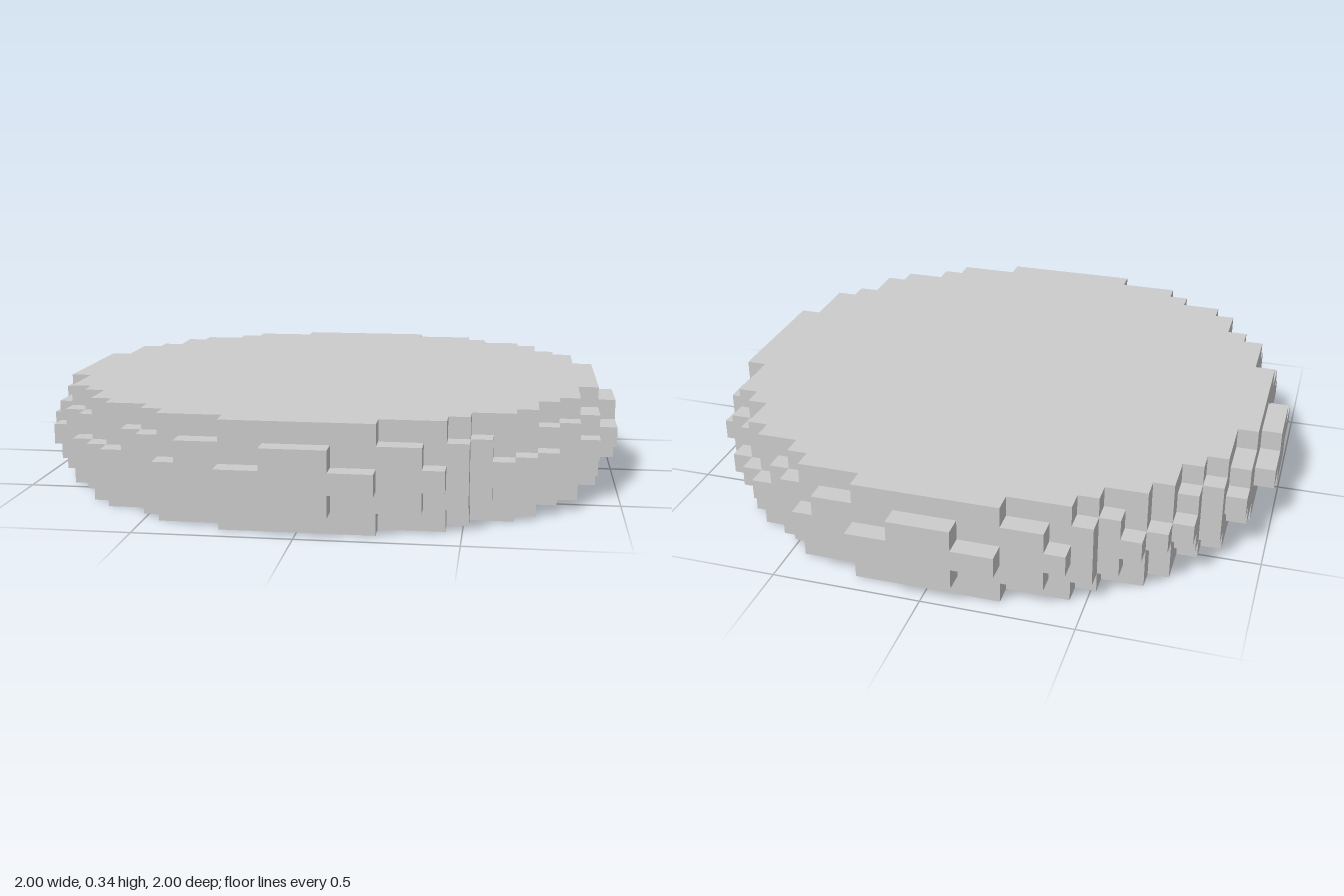
import * as THREE from 'three';

const U = 2 / 29;     // edge of one block
const LAYERS = 5;

// A block is filled when it lies inside a squat, bulging disc
const filled = (x, j, z) =>
  j >= 0 && j < LAYERS && x * x + z * z <= 205.9 - 6 * (j - 2) ** 2;

// Stepped outline of one layer
function outline(j) {
  const right = [], left = [];
  for (let z = -14; z <= 14; z++) {
    let w = -1;
    while (filled(w + 1, j, z)) w++;
    if (w < 0) continue;
    for (const e of [-0.5, 0.5]) {
      right.push(new THREE.Vector2((w + 0.5) * U, (z + e) * U));
      left.unshift(new THREE.Vector2(-(w + 0.5) * U, (z + e) * U));
    }
  }
  return new THREE.Shape([...right, ...left]);
}

// Exposed block faces pointing along the given directions
function blockFaces(directions, skipCaps) {
  const pos = [], idx = [];
  for (const d of directions) {
    const n = new THREE.Vector3(...d);
    const a = new THREE.Vector3(d[1], d[2], d[0]);
    const b = new THREE.Vector3().crossVectors(n, a);
    for (let j = 0; j < LAYERS; j++)
      for (let x = -14; x <= 14; x++)
        for (let z = -14; z <= 14; z++) {
          const above = j + d[1];
          if (!filled(x, j, z) || filled(x + d[0], above, z + d[2])) continue;
          if (skipCaps && (above < 0 || above >= LAYERS)) continue;
          const k = pos.length / 3;
          for (const [s, t] of [[-1, -1], [1, -1], [1, 1], [-1, 1]]) {
            const p = new THREE.Vector3(x, j + 0.5, z).addScaledVector(n, 0.5)
              .addScaledVector(a, s / 2).addScaledVector(b, t / 2);
            pos.push(p.x * U, p.y * U, p.z * U);
          }
          idx.push(k, k + 1, k + 2, k, k + 2, k + 3);
        }
  }
  const g = new THREE.BufferGeometry();
  g.setAttribute('position', new THREE.Float32BufferAttribute(pos, 3));
  g.setIndex(idx);
  g.computeVertexNormals();
  return g;
}

export function createModel() {
  const group = new THREE.Group();
  group.name = 'blockDisc';
  const material = new THREE.MeshStandardMaterial({
    color: 0xcccccc, flatShading: true, side: THREE.DoubleSide,
  });
  const add = (name, geometry) => {
    const mesh = new THREE.Mesh(geometry, material);
    mesh.name = name;
    group.add(mesh);
    return mesh;
  };

  // Stepped rim: upright sides and the small ledges between layers
  add('rimWalls', blockFaces([[1, 0, 0], [-1, 0, 0], [0, 0, 1], [0, 0, -1]], false));
  add('rimLedges', blockFaces([[0, 1, 0], [0, -1, 0]], true));

  // Flat top
  const top = add('topFace', new THREE.ShapeGeometry(outline(LAYERS - 1)).rotateX(-Math.PI / 2));
  top.position.y = LAYERS * U;

  // Flat underside with a narrow triangular opening into the hollow body
  const base = outline(0);
  base.holes.push(new THREE.Path([
    new THREE.Vector2(0.67, 0.09),
    new THREE.Vector2(-0.66, 0.24),
    new THREE.Vector2(0.64, 0.35),
  ]));
  add('bottomFace', new THREE.ShapeGeometry(base).rotateX(Math.PI / 2));

  return group;
}
